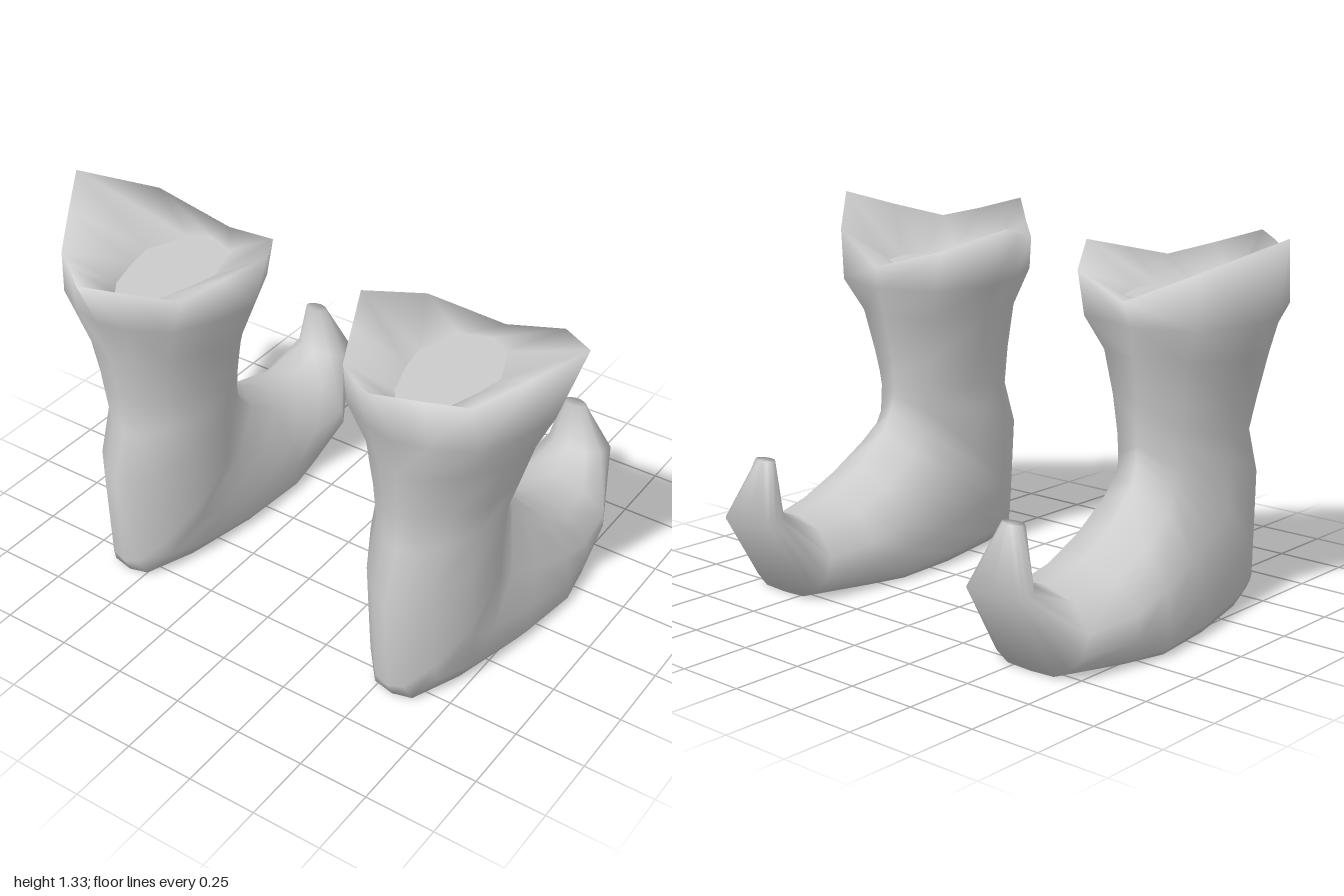
import * as THREE from 'three';

const leather = new THREE.MeshStandardMaterial({ color: 0xcccccc });
leather.name = 'pale grey leather';

// Half outlines as [width share, share of the way from sole/heel to instep]
const footOutline = [[0, 0], [0.92, 0], [1, 0.07], [0.96, 0.27], [0.88, 0.55], [0.56, 0.86], [0, 1]];
const shaftOutline = [[0, 0], [0.26, 0.02], [0.6, 0.14], [0.92, 0.34], [1, 0.6], [0.6, 0.9], [0, 1]];

// Sections from toe tip to ankle to shaft: [heel z, y, instep z, y, half width, centre x, foot-to-shaft blend]
const sections = [
  [-0.64, 0.5, -0.59, 0.5, 0.045, 0.57, 1],
  [-0.715, 0.29, -0.58, 0.31, 0.12, 0.57, 0.1],
  [-0.54, 0, -0.47, 0.265, 0.21, 0.575, 0.7],
  [-0.3, 0, -0.3, 0.305, 0.248, 0.585, 0.3],
  [-0.15, 0, -0.15, 0.385, 0.255, 0.585, 0.1],
  [0.1, 0, -0.035, 0.49, 0.24, 0.578, 0.15],
  [0.38, 0, -0.005, 0.56, 0.213, 0.57, 0.4],
  [0.57, 0, 0, 0.6, 0.205, 0.565, 0.85],
  [0.6, 0.06, 0.005, 0.62, 0.207, 0.565, 1],
  [0.615, 0.42, 0.005, 0.66, 0.21, 0.56, 1],
  [0.55, 0.6, 0.003, 0.7, 0.213, 0.56, 1],
  [0.555, 0.75, 0, 0.77, 0.24, 0.565, 1],
  [0.575, 0.92, -0.03, 0.92, 0.28, 0.57, 1],
];

// Half ring is closed by its mirrored inner half
const closeRing = (outer, inner) => [...outer, ...inner.slice(1, -1).reverse()];

function sectionRing([az, ay, bz, by, w, cx, t]) {
  const half = (dir) => footOutline.map(([fw, fu], i) => {
    const [sw, su] = shaftOutline[i];
    const u = fu + (su - fu) * t;
    return [cx + dir * w * (fw + (sw - fw) * t), ay + (by - ay) * u, az + (bz - az) * u];
  });
  return closeRing(half(1), half(-1));
}

// Full, squarer swelling just under the collar edge
function swellRing() {
  const half = (d) => [[0, 0.61], [0.11, 0.585], [0.235, 0.51], [0.305, 0.35], [0.33, 0.2], [0.235, 0], [0, -0.055]]
    .map(([x, z]) => [0.575 + d * x, 1.03 + 0.06 * z, z]);
  return closeRing(half(1), half(-1));
}

// Pointed collar edge
function rimRing(backY) {
  const cx = 0.56;
  const outer = [[0, backY, 0.71], [0.12, 1.25, 0.61], [0.235, 1.22, 0.52], [0.34, 1.27, 0.36],
    [0.44, 1.325, 0.2], [0.25, 1.22, -0.01], [0, 1.11, -0.08]];
  const inner = [[0, backY, 0.71], [-0.125, 1.22, 0.6], [-0.245, 1.18, 0.49], [-0.31, 1.215, 0.345],
    [-0.375, 1.25, 0.2], [-0.25, 1.18, 0], [0, 1.11, -0.08]];
  return closeRing(outer, inner).map(([x, y, z]) => [cx + x, y, z]);
}

function floorRing() {
  const half = (d) => [[0, 0.55], [0.05, 0.485], [0.09, 0.43], [0.13, 0.3], [0.15, 0.2], [0.09, 0.05], [0, 0.02]]
    .map(([x, z]) => [0.555 + d * x, 1.107, z]);
  return closeRing(half(1), half(-1));
}

// Joins rings into a smooth skin; side -1 mirrors it and turns the corners round
function skin(rings, side, { capStart = false, capEnd = false } = {}) {
  const n = rings[0].length;
  const pos = rings.flat().flatMap(([x, y, z]) => [side * x, y, z]);
  const index = [];
  const tri = (a, b, c) => (side > 0 ? index.push(a, b, c) : index.push(a, c, b));
  for (let r = 0; r < rings.length - 1; r++) {
    for (let j = 0; j < n; j++) {
      const a = r * n + j, b = r * n + (j + 1) % n;
      tri(a, b, b + n);
      tri(a, b + n, a + n);
    }
  }
  const last = (rings.length - 1) * n;
  for (let j = 1; j < n - 1; j++) {
    if (capStart) tri(0, j + 1, j);
    if (capEnd) tri(last, last + j, last + j + 1);
  }
  const g = new THREE.BufferGeometry();
  g.setAttribute('position', new THREE.Float32BufferAttribute(pos, 3));
  g.setIndex(index);
  g.computeVertexNormals();
  return g;
}

function boot(side, backY) {
  const group = new THREE.Group();
  const floor = floorRing();
  const add = (name, geometry) => {
    const mesh = new THREE.Mesh(geometry, leather);
    mesh.name = name;
    group.add(mesh);
  };
  // The skin runs up the outside, over the collar edge and down the lining
  add('bootShellAndLining',
    skin([...sections.map(sectionRing), swellRing(), rimRing(backY), floor], side, { capStart: true }));
  add('openingFloor', skin([floor], side, { capEnd: true }));
  return group;
}

export function createModel() {
  const model = new THREE.Group();
  model.name = 'curledToeBoots';
  const left = boot(1, 1.29), right = boot(-1, 1.265);
  left.name = 'leftBoot';
  right.name = 'rightBoot';
  model.add(left, right);
  return model;
}
